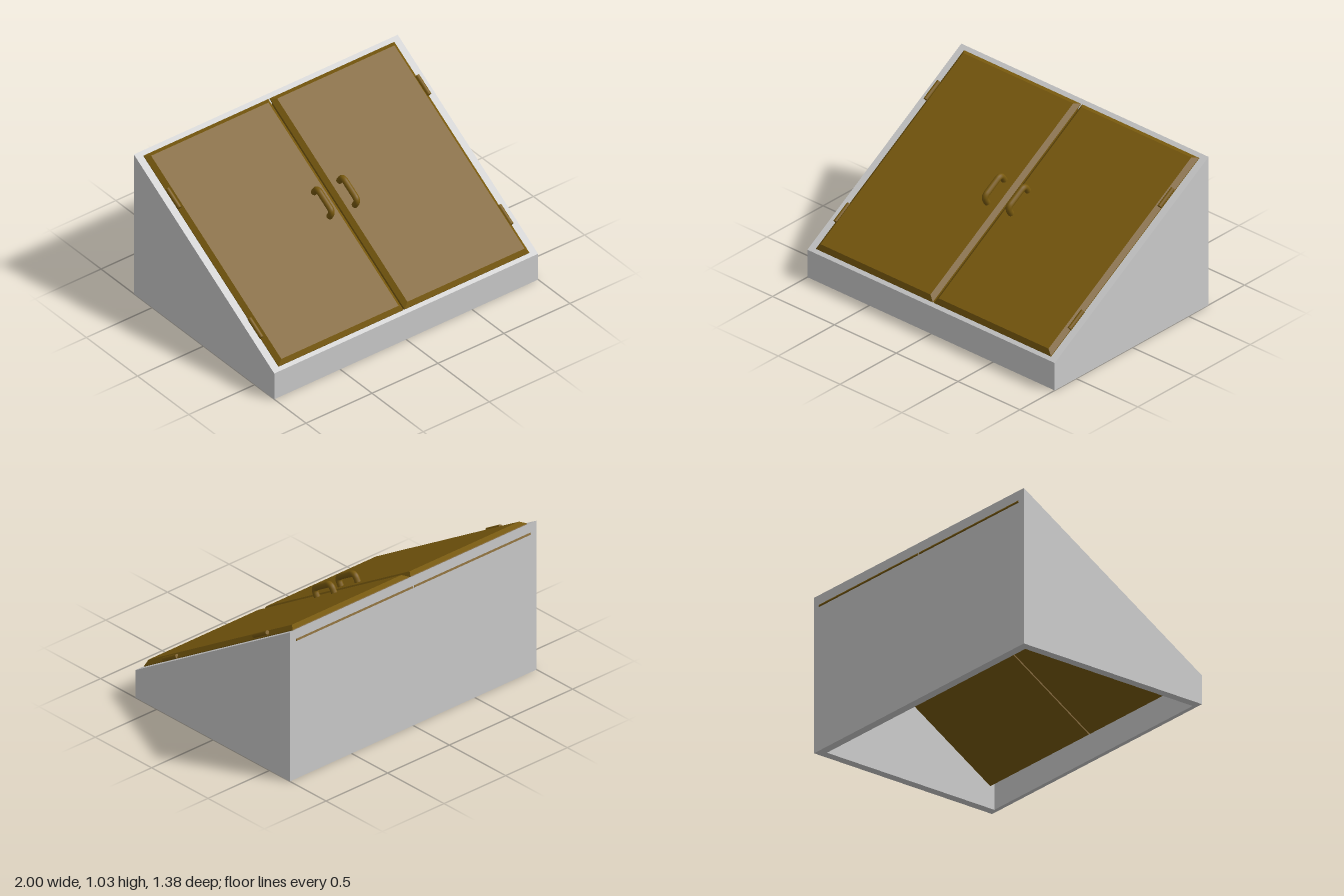
import * as THREE from 'three';

const FRONT = 0.69, BACK = -0.68, LOW = 0.19, HIGH = 1.027, WALL = 0.055;
const SLOPE = Math.atan2(HIGH - LOW, FRONT - BACK);
const grey = new THREE.MeshStandardMaterial({ color: 0xcccccc, side: THREE.DoubleSide });
const brown = new THREE.MeshStandardMaterial({ color: 0x78590e });

const topAt = (z) => LOW + (FRONT - z) * Math.tan(SLOPE);

function add(parent, name, geometry, material, x = 0, y = 0, z = 0) {
  const mesh = new THREE.Mesh(geometry, material);
  mesh.name = name;
  mesh.position.set(x, y, z);
  parent.add(mesh);
  return mesh;
}

// Upright wall between two depths, cut off along the slope and centred across its width
function wallGeometry(zBack, zFront, width) {
  const shape = new THREE.Shape([
    new THREE.Vector2(zBack, 0),
    new THREE.Vector2(zFront, 0),
    new THREE.Vector2(zFront, topAt(zFront)),
    new THREE.Vector2(zBack, topAt(zBack)),
  ]);
  return new THREE.ExtrudeGeometry(shape, { depth: width, bevelEnabled: false })
    .rotateY(-Math.PI / 2)
    .translate(width / 2, 0, 0);
}

// Slab whose top narrows above its shoulder to a chamfered edge
function doorGeometry(width, length) {
  const bottom = -0.067, shoulder = 0.005, top = 0.031, inset = 0.028;
  const g = new THREE.BoxGeometry(width, 2, length, 1, 2, 1);
  const p = g.attributes.position;
  for (let i = 0; i < p.count; i++) {
    const level = Math.round(p.getY(i));
    if (level === 1) {
      p.setX(i, p.getX(i) - Math.sign(p.getX(i)) * inset);
      p.setZ(i, p.getZ(i) - Math.sign(p.getZ(i)) * inset);
    }
    p.setY(i, [bottom, shoulder, top][level + 1]);
  }
  const flat = g.toNonIndexed();
  flat.computeVertexNormals();
  return flat;
}

// Rounded bar handle running up the slope
function handleGeometry() {
  const v = (y, u) => new THREE.Vector3(0, y, -u);
  const u0 = 0.74, u1 = 0.917, h = 0.09, r = 0.035;
  const path = new THREE.CurvePath();
  path.add(new THREE.LineCurve3(v(0.02, u0), v(h - r, u0)));
  path.add(new THREE.QuadraticBezierCurve3(v(h - r, u0), v(h, u0), v(h, u0 + r)));
  path.add(new THREE.LineCurve3(v(h, u0 + r), v(h, u1 - r)));
  path.add(new THREE.QuadraticBezierCurve3(v(h, u1 - r), v(h, u1), v(h - r, u1)));
  path.add(new THREE.LineCurve3(v(h - r, u1), v(0.02, u1)));
  return new THREE.TubeGeometry(path, 48, 0.02, 12, false);
}

export function createModel() {
  const model = new THREE.Group();
  model.name = 'slopedHatch';

  // Hollow frame, open below
  const frame = new THREE.Group();
  frame.name = 'frame';
  model.add(frame);
  const inner = 2 - 2 * WALL;
  add(frame, 'frontWall', wallGeometry(FRONT - WALL / 2, FRONT, inner), grey);
  add(frame, 'backWall', wallGeometry(BACK, BACK + WALL, inner), grey);
  for (const [name, s] of [['left', 1], ['right', -1]]) {
    add(frame, name + 'SideWall', wallGeometry(BACK, FRONT, WALL), grey, s * (1 - WALL / 2));
  }

  // Everything on the slope: local y is its normal, local -z runs up it
  const slope = new THREE.Group();
  slope.name = 'doors';
  slope.position.set(0, LOW, FRONT);
  slope.rotation.x = SLOPE;
  model.add(slope);

  for (const [name, s] of [['left', 1], ['right', -1]]) {
    add(slope, name + 'Door', doorGeometry(0.945, 1.545), brown, s * 0.4775, 0, -0.8);
    add(slope, name + 'Handle', handleGeometry(), brown, s > 0 ? 0.088 : -0.104);
    // Hinge barrels along the outer edge
    for (const [place, u, n] of [['Lower', 0.302, 0.014], ['Upper', 1.247, 0.024]]) {
      const barrel = new THREE.CylinderGeometry(0.014, 0.014, 0.14, 12).rotateX(Math.PI / 2);
      add(slope, name + place + 'Hinge', barrel, brown, s * 0.946, n, -u);
    }
  }
  return model;
}
